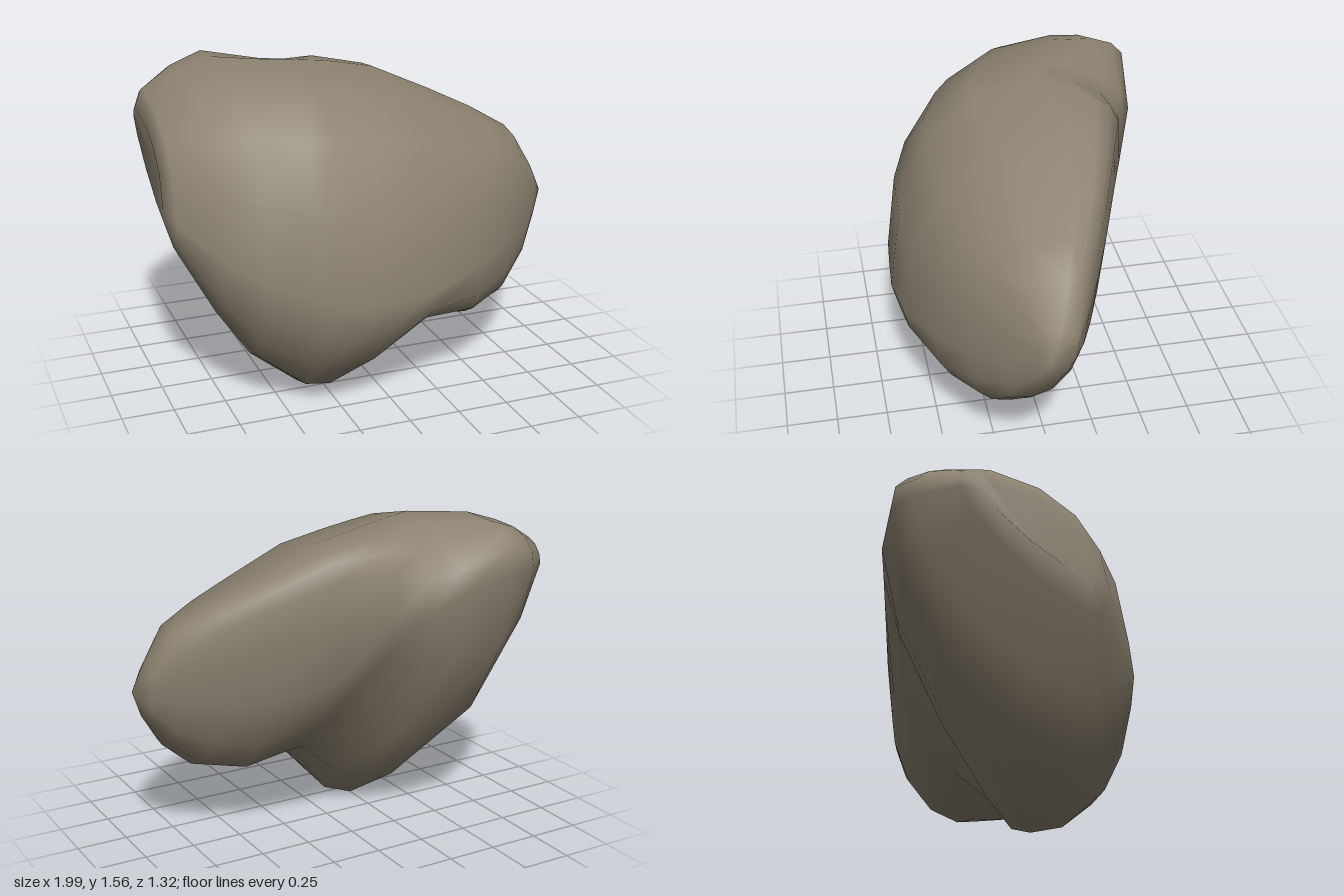
import * as THREE from 'three';

// Cross-sections along x, each passing through four extreme points:
// x, top (y,z), front (z,y), bottom (y,z), back (z,y), top-back and bottom-back fullness
// (fullness: below 1 is boxy, 1 is round, 2 is straight, above 2 is hollow)
const SECTIONS = [
  [-0.99, 1.33, -0.32, 0.18, 0.98, 0.93, 0.16, -0.37, 1.28, 1.0, 1.6],
  [-0.95, 1.42, -0.30, 0.27, 0.92, 0.79, 0.18, -0.45, 1.30, 1.0, 1.5],
  [-0.78, 1.51, -0.30, 0.45, 0.78, 0.47, 0.25, -0.61, 1.32, 0.8, 1.25],
  [-0.62, 1.56, -0.28, 0.56, 0.70, 0.23, 0.25, -0.66, 1.33, 0.65, 1.12],
  [-0.38, 1.56, -0.12, 0.64, 0.60, 0.03, 0.22, -0.62, 1.26, 1.2, 1.3],
  [-0.25, 1.545, -0.14, 0.65, 0.57, 0.0, 0.18, -0.565, 1.18, 1.05, 1.5],
  [-0.08, 1.52, -0.17, 0.66, 0.55, 0.07, 0.16, -0.50, 1.14, 0.55, 1.75],
  [0.17, 1.47, -0.18, 0.63, 0.57, 0.36, 0.22, -0.41, 1.15, 0.55, 0.95],
  [0.46, 1.34, -0.15, 0.52, 0.62, 0.30, 0.19, -0.30, 1.08, 0.65, 0.95],
  [0.67, 1.24, -0.09, 0.39, 0.66, 0.35, 0.18, -0.21, 1.00, 0.7, 1.0],
  [0.84, 1.14, -0.03, 0.25, 0.70, 0.50, 0.13, -0.13, 0.95, 0.8, 1.0],
  [0.95, 0.95, 0.02, 0.13, 0.78, 0.67, 0.08, -0.06, 0.87, 1.0, 1.0],
];
const SIDES = 16;

// One ring, running top -> front -> bottom -> back
function ring([x, topY, topZ, frontZ, frontY, botY, botZ, backZ, backY, topBack, botBack]) {
  const points = [];
  const botFront = x > 0.1 ? 0.75 : 1.1; // the left lobe has a squarer underside
  for (let j = 0; j < SIDES; j++) {
    const a = (j / SIDES) * Math.PI * 2;
    const upper = Math.cos(a) >= 0, front = Math.sin(a) >= 0;
    const [poleY, poleZ] = upper ? [topY, topZ] : [botY, botZ];
    const [sideZ, sideY] = front ? [frontZ, frontY] : [backZ, backY];
    const e = front ? (upper ? 0.92 : botFront) : (upper ? topBack : botBack);
    const s = Math.abs(Math.sin(a)) ** e, c = Math.abs(Math.cos(a)) ** e;
    points.push(x, sideY + (poleY - sideY) * c, poleZ + (sideZ - poleZ) * s);
  }
  return points;
}

function boulderGeometry() {
  const positions = SECTIONS.flatMap(ring);
  const index = [];
  const last = (SECTIONS.length - 1) * SIDES;
  const startTip = SECTIONS.length * SIDES, endTip = startTip + 1;
  positions.push(-0.95, 1.11, -0.12); // shallow dent on the right side
  positions.push(1.0, 0.81, 0.08);    // blunt nose on the left side

  for (let j = 0; j < SIDES; j++) {
    const k = (j + 1) % SIDES;
    for (let r = 0; r < last; r += SIDES) {
      index.push(r + j, r + k, r + SIDES + j, r + k, r + SIDES + k, r + SIDES + j);
    }
    index.push(startTip, k, j, endTip, last + j, last + k);
  }

  const geometry = new THREE.BufferGeometry();
  geometry.setAttribute('position', new THREE.Float32BufferAttribute(positions, 3));
  geometry.setIndex(index);
  geometry.computeVertexNormals();
  return geometry;
}

export function createModel() {
  const stone = new THREE.MeshStandardMaterial({ color: 0x8c8270 });
  stone.name = 'stone';
  const boulder = new THREE.Mesh(boulderGeometry(), stone);
  boulder.name = 'boulder';
  const group = new THREE.Group();
  group.name = 'rock';
  group.add(boulder);
  return group;
}
